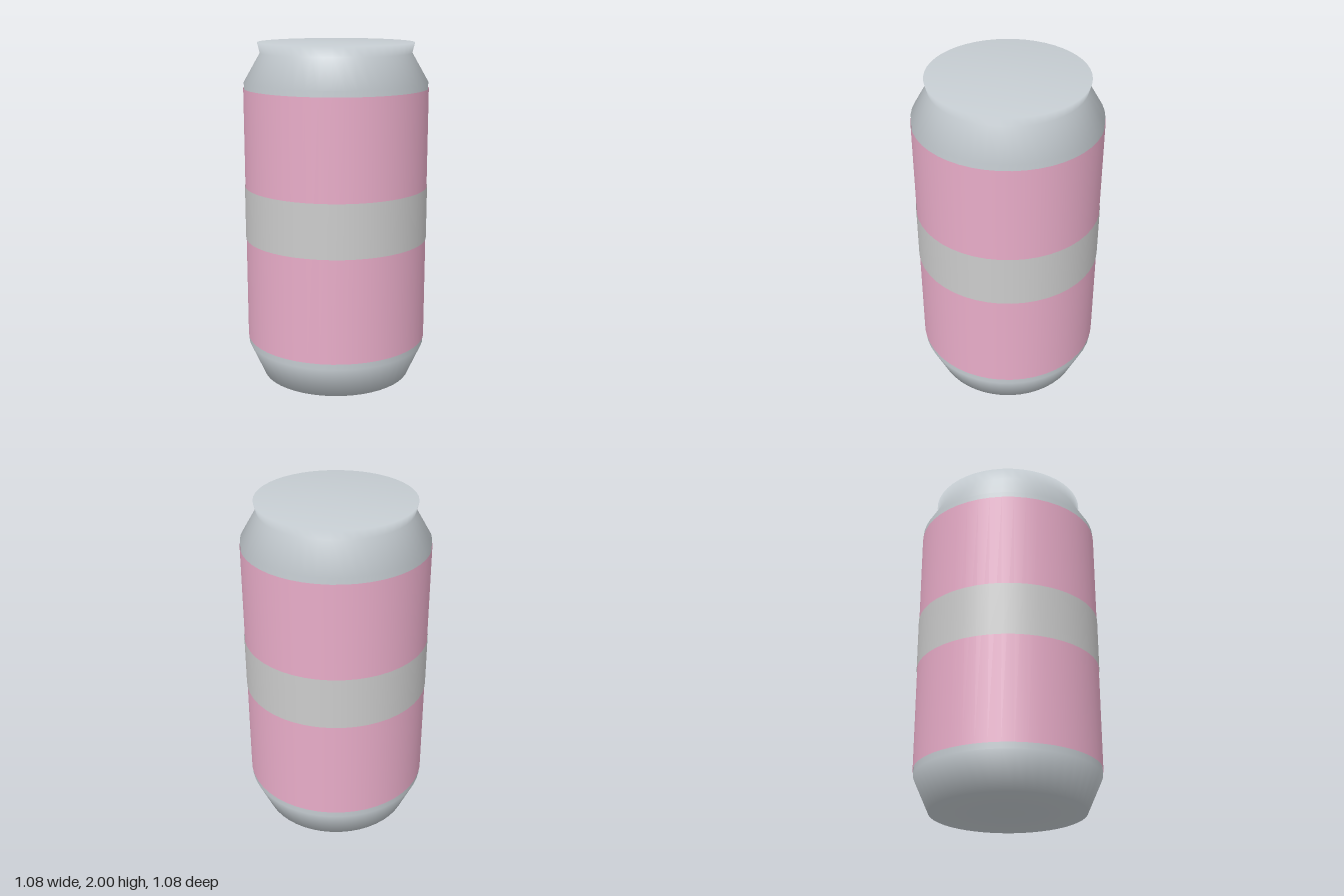
import * as THREE from 'three';

const SEGMENTS = 48;

// Open sleeve wrapped around the can between two heights
function sleeve(name, radius, bottom, top, color) {
  const mesh = new THREE.Mesh(
    new THREE.CylinderGeometry(radius, radius, top - bottom, SEGMENTS, 1, true),
    new THREE.MeshStandardMaterial({ color, side: THREE.DoubleSide })
  );
  mesh.position.y = (bottom + top) / 2;
  mesh.name = name;
  return mesh;
}

export function createModel() {
  const group = new THREE.Group();
  group.name = 'drinkCan';

  // Closed metal shell: base, tapered foot, wall, shoulder, neck, flared rim and lid
  const profile = [
    [0, 0], [0.445, 0], [0.535, 0.2], [0.535, 1.775],
    [0.44, 1.94], [0.455, 2], [0, 2]
  ].map(([r, y]) => new THREE.Vector2(r, y));
  const shell = new THREE.Mesh(
    new THREE.LatheGeometry(profile, SEGMENTS),
    new THREE.MeshStandardMaterial({ color: 0xc6cdd2 })
  );
  shell.name = 'metalShell';
  group.add(shell);

  // Coloured label with a plain grey band around its middle
  group.add(sleeve('label', 0.539, 0.235, 1.74, 0xe8acc8));
  group.add(sleeve('middleBand', 0.542, 0.85, 1.165, 0xcccccc));

  return group;
}
